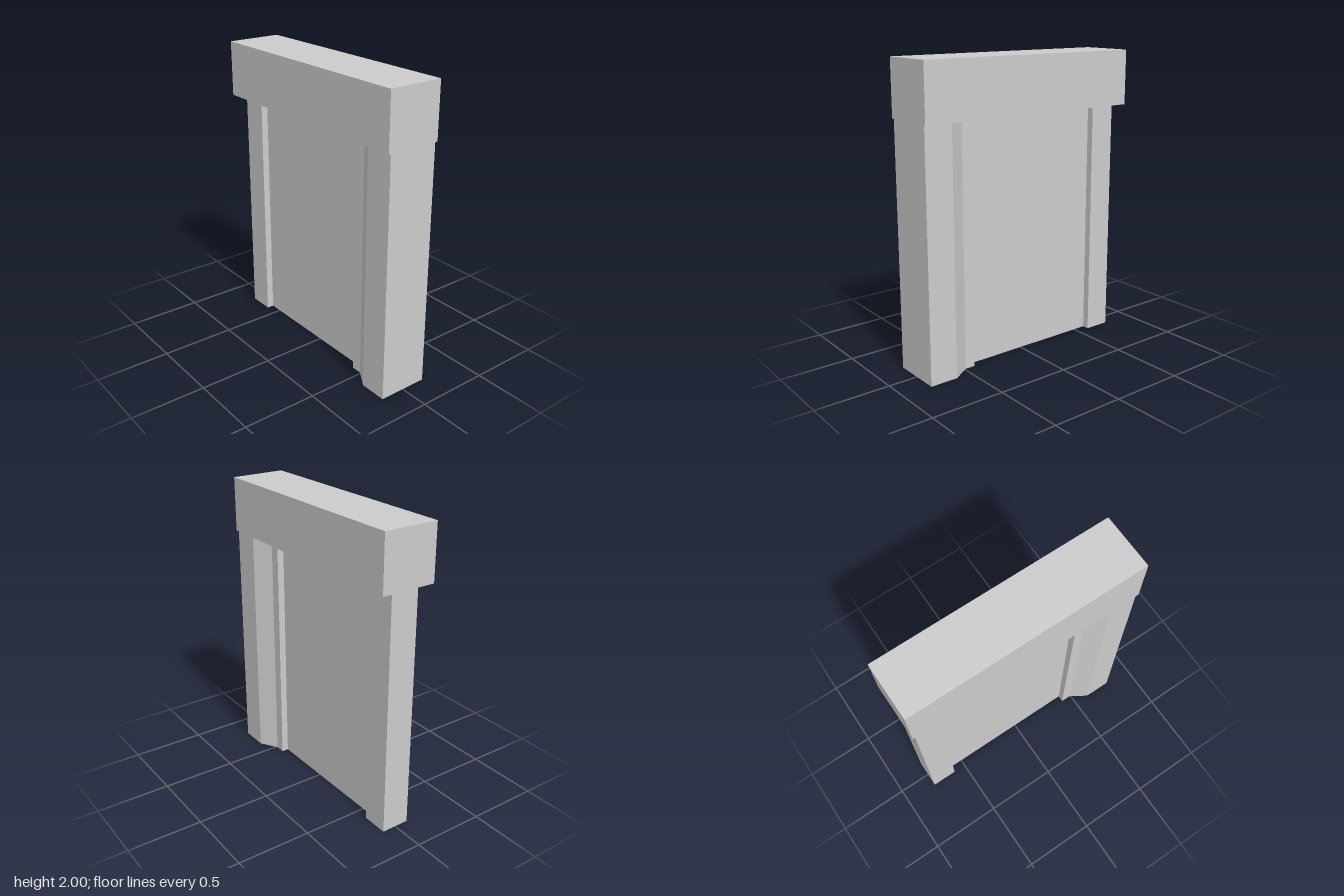
import * as THREE from 'three';

const material = new THREE.MeshStandardMaterial({ color: 0xcccccc, flatShading: true });
const LINTEL_BOTTOM = 1.63;

// Upright prism whose plan is mirrored about x = 0; half lists [x, z] from front to back
function upright(name, half) {
  const plan = [...half, ...half.map(([x, z]) => [-x, z]).reverse()];
  const shape = new THREE.Shape(plan.map(([x, z]) => new THREE.Vector2(x, -z)));
  const geometry = new THREE.ExtrudeGeometry(shape, { depth: LINTEL_BOTTOM, bevelEnabled: false });
  geometry.rotateX(-Math.PI / 2);
  const mesh = new THREE.Mesh(geometry, material);
  mesh.name = name;
  return mesh;
}

export function createModel() {
  const group = new THREE.Group();
  group.name = 'wallSection';

  // Wide front pillar, tapering on both sides to a narrow neck
  group.add(upright('frontPillar', [[0.172, 0.8], [0.172, 0.61], [0.097, 0.49], [0.097, 0.42]]));

  // Thin recessed wall between the uprights
  group.add(upright('wallPanel', [[0.05, 0.42], [0.05, -0.59]]));

  // Plain square post at the back
  group.add(upright('backPost', [[0.097, -0.59], [0.097, -0.77]]));

  // Heavy lintel across the top
  const lintel = new THREE.Mesh(new THREE.BoxGeometry(0.376, 2 - LINTEL_BOTTOM, 1.604), material);
  lintel.name = 'lintel';
  lintel.position.y = (2 + LINTEL_BOTTOM) / 2;
  group.add(lintel);

  return group;
}
